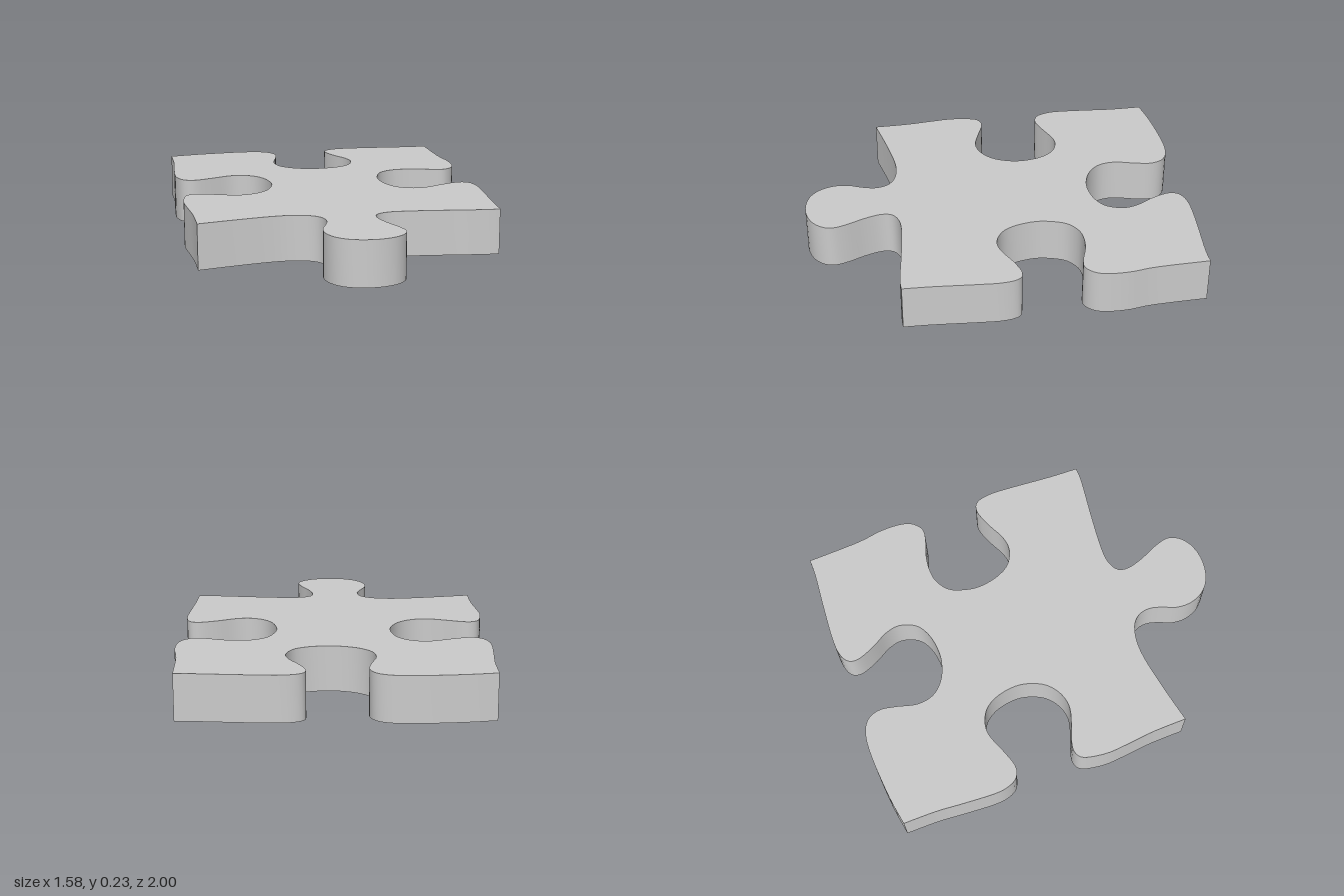
import * as THREE from 'three';
import { toCreasedNormals } from 'three/addons/utils/BufferGeometryUtils.js';

const THICKNESS = 0.235;

// Each side is a smooth curve of [x, z] points, ending in a sharp corner.
const START = [-0.77, -0.96];

// back side with its socket
const BACK = [
  [-0.61, -0.985], [-0.385, -1], [-0.26, -0.99], [-0.19, -0.95], [-0.165, -0.88], [-0.18, -0.79],
  [-0.205, -0.69], [-0.19, -0.6], [-0.13, -0.535], [-0.05, -0.5], [0.03, -0.49], [0.125, -0.505],
  [0.2, -0.55], [0.235, -0.635], [0.22, -0.715], [0.17, -0.805], [0.135, -0.895], [0.145, -0.95],
  [0.2, -0.98], [0.295, -0.987], [0.48, -0.975], [0.66, -0.96], [0.755, -0.96],
];

// left side (+x) with its socket
const LEFT = [
  [0.765, -0.69], [0.785, -0.555], [0.785, -0.45], [0.765, -0.38], [0.715, -0.337], [0.655, -0.34],
  [0.56, -0.37], [0.48, -0.38], [0.405, -0.37], [0.335, -0.32], [0.3, -0.23], [0.293, -0.15],
  [0.315, -0.05], [0.36, 0.02], [0.435, 0.058], [0.515, 0.05], [0.61, 0.005], [0.705, -0.026],
  [0.76, -0.005], [0.78, 0.08], [0.775, 0.21], [0.76, 0.42], [0.755, 0.57],
];

// front side with its tab
const FRONT = [
  [0.675, 0.57], [0.48, 0.545], [0.295, 0.525], [0.19, 0.525], [0.125, 0.555], [0.11, 0.615],
  [0.135, 0.705], [0.175, 0.795], [0.195, 0.875], [0.17, 0.935], [0.11, 0.98], [0.015, 1],
  [-0.09, 0.98], [-0.16, 0.925], [-0.193, 0.845], [-0.19, 0.765], [-0.16, 0.69], [-0.145, 0.62],
  [-0.165, 0.555], [-0.22, 0.515], [-0.31, 0.497], [-0.42, 0.503], [-0.605, 0.535], [-0.772, 0.57],
];

// right side (-x) with its socket
const RIGHT = [
  [-0.775, 0.395], [-0.79, 0.24], [-0.797, 0.13], [-0.78, 0.02], [-0.75, -0.02], [-0.695, -0.026],
  [-0.595, 0.01], [-0.5, 0.037], [-0.415, 0.02], [-0.345, -0.035], [-0.305, -0.12], [-0.296, -0.2],
  [-0.315, -0.295], [-0.36, -0.365], [-0.43, -0.4], [-0.5, -0.4], [-0.605, -0.36], [-0.695, -0.333],
  [-0.755, -0.355], [-0.785, -0.42], [-0.79, -0.5], [-0.78, -0.66], [-0.77, -0.79], START,
];

export function createModel() {
  // outline of the piece, drawn with shape y = -z
  const outline = new THREE.Shape();
  outline.moveTo(START[0], -START[1]);
  for (const side of [BACK, LEFT, FRONT, RIGHT]) {
    outline.splineThru(side.map(([x, z]) => new THREE.Vector2(x, -z)));
  }

  // extruded slab laid flat, smooth around the curves and sharp at the rims and corners
  const slab = new THREE.ExtrudeGeometry(outline, {
    depth: THICKNESS, bevelEnabled: false, curveSegments: 3,
  });
  slab.rotateX(-Math.PI / 2);
  const piece = new THREE.Mesh(
    toCreasedNormals(slab, Math.PI / 5),
    new THREE.MeshStandardMaterial({ color: 0xcccccc }),
  );
  piece.name = 'puzzlePiece';

  const group = new THREE.Group();
  group.name = 'jigsawPiece';
  group.add(piece);
  return group;
}
